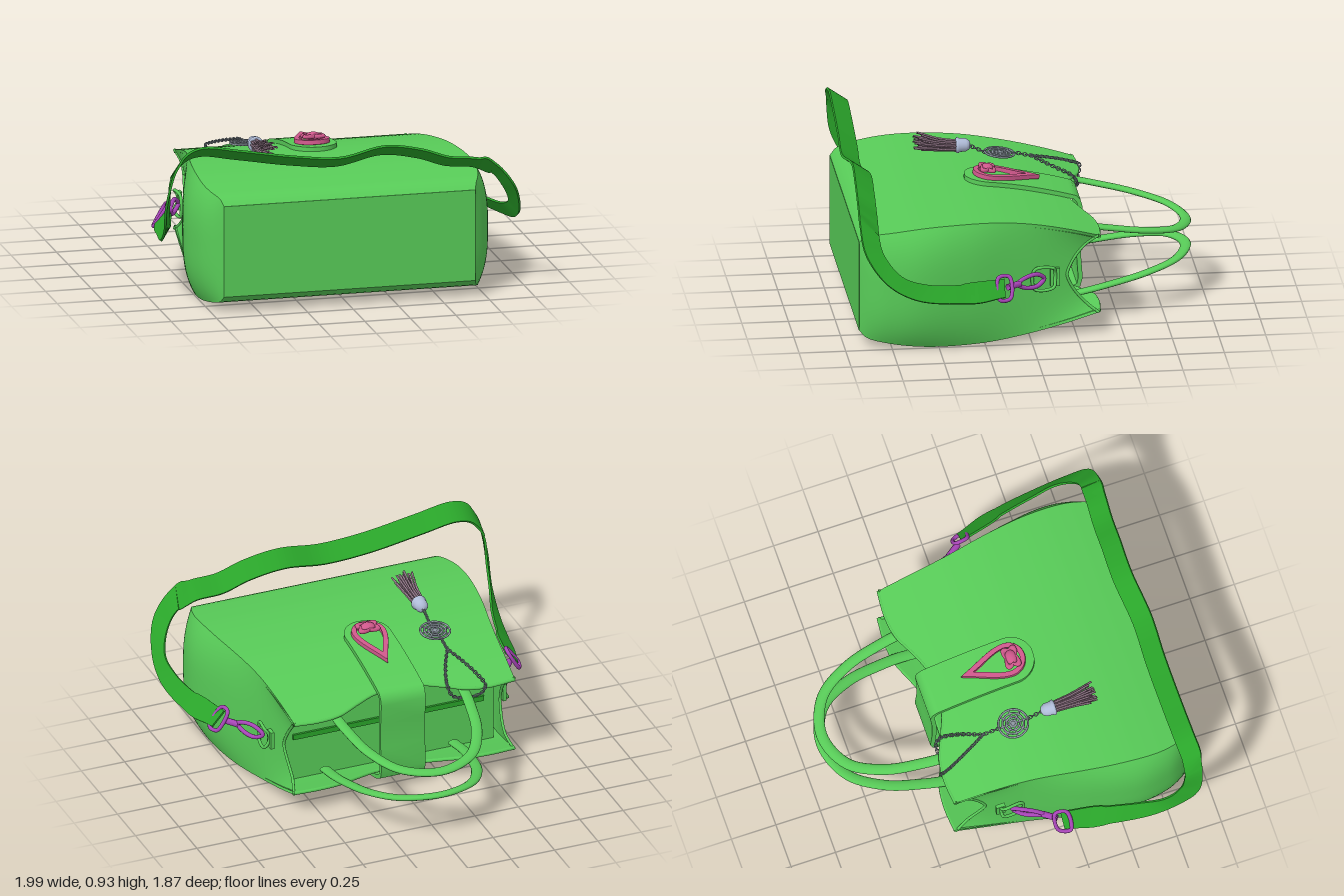
import * as THREE from 'three';
import { toCreasedNormals } from 'three/addons/utils/BufferGeometryUtils.js';

const V = (x, y, z) => new THREE.Vector3(x, y, z);
const mat = (color) => new THREE.MeshStandardMaterial({ color, side: THREE.DoubleSide });
const MID = 0.345; // height of the bag's middle plane

// smooth function through [position, value] pairs
function smooth(p) {
  const slope = (i) => {
    const a = p[Math.max(i - 1, 0)], b = p[Math.min(i + 1, p.length - 1)];
    return (b[1] - a[1]) / (b[0] - a[0]);
  };
  return (s) => {
    s = Math.min(Math.max(s, p[0][0]), p[p.length - 1][0]);
    let i = 0;
    while (i < p.length - 2 && s > p[i + 1][0]) i++;
    const d = p[i + 1][0] - p[i][0], t = (s - p[i][0]) / d, t2 = t * t, t3 = t2 * t;
    return (2 * t3 - 3 * t2 + 1) * p[i][1] + (t3 - 2 * t2 + t) * d * slope(i)
      + (3 * t2 - 2 * t3) * p[i + 1][1] + (t3 - t2) * d * slope(i + 1);
  };
}

// surface over a grid, f(u, v) with u, v from 0 to 1
function grid(f, nu, nv) {
  const pos = [], idx = [];
  for (let j = 0; j <= nv; j++) for (let i = 0; i <= nu; i++) {
    pos.push(...f(i / nu, j / nv).toArray());
    if (i < nu && j < nv) {
      const a = j * (nu + 1) + i, b = a + nu + 1;
      idx.push(a, a + 1, b, a + 1, b + 1, b);
    }
  }
  const g = new THREE.BufferGeometry();
  g.setAttribute('position', new THREE.Float32BufferAttribute(pos, 3));
  g.setIndex(idx);
  g.computeVertexNormals();
  return g;
}

// flat band with thickness; each section has a centre c and a half-width vector w
function band(sections, thick) {
  const n = sections.length;
  const rings = sections.map(({ c, w }, i) => {
    const dir = sections[Math.min(i + 1, n - 1)].c.clone().sub(sections[Math.max(i - 1, 0)].c);
    const t = dir.cross(w).normalize().multiplyScalar(thick / 2);
    return [[1, 1], [-1, 1], [-1, -1], [1, -1], [1, 1]]
      .map(([a, b]) => c.clone().addScaledVector(w, a).addScaledVector(t, b));
  });
  rings.unshift(Array(5).fill(sections[0].c));
  rings.push(Array(5).fill(sections[n - 1].c));
  return toCreasedNormals(grid((u, v) => rings[Math.round(v * (n + 1))][Math.round(u * 4)], 4, n + 1), 0.7);
}

const tube = (pts, r, n = 24, closed = false, sides = 8) =>
  new THREE.TubeGeometry(new THREE.CatmullRomCurve3(pts, closed), n, r, sides, closed);

// body profiles along z: half height, panel half width, gusset half width
const halfH = smooth([[-0.38, 0.215], [-0.2, 0.265], [0, 0.308], [0.2, 0.334], [0.4, 0.34], [0.6, 0.332], [0.82, 0.302], [0.89, 0.283], [0.92, 0.25]]);
const panelX = smooth([[-0.38, 0.635], [0, 0.67], [0.3, 0.72], [0.5, 0.745], [0.7, 0.75], [0.82, 0.73], [0.92, 0.69]]);
const gussetX = smooth([[-0.3, 0.6], [-0.05, 0.66], [0.1, 0.7], [0.35, 0.775], [0.6, 0.82], [0.78, 0.795], [0.88, 0.74], [0.92, 0.69]]);
const topEdge = smooth([[0, -0.26], [0.13, -0.27], [0.25, -0.315], [0.37, -0.365], [0.5, -0.38], [0.64, -0.37]]);

export function createModel() {
  const bag = new THREE.Group();
  const green = mat(0x58cc58), darkGreen = mat(0x2aa52a), pink = mat(0xd0588c);
  const purple = mat(0xa845b8), metal = mat(0x8c96a0), silver = mat(0xb0bcd8), mauve = mat(0x94788a);
  const add = (name, geo, m, parent = bag) => {
    const mesh = new THREE.Mesh(geo, m);
    mesh.name = name;
    parent.add(mesh);
    return mesh;
  };
  const group = (name, parent = bag) => {
    const g = new THREE.Group();
    g.name = name;
    parent.add(g);
    return g;
  };

  // front and back panels with rolled top edges, and their carrying handles
  for (const [name, s] of [['front', 1], ['back', -1]]) {
    const panel = (u, v) => {
      const a = u * 2 - 1;
      const z = THREE.MathUtils.lerp(0.92, topEdge(Math.abs(a) * 0.64), v);
      return V(a * panelX(z), MID + s * halfH(z), z);
    };
    add(name + 'Panel', grid(panel, 48, 48), green);
    const inner = grid((u, v) => panel(u, 0.7 + 0.3 * v).add(V(0, -0.018 * s, 0)), 48, 16);
    add(name + 'Facing', inner, green);
    const rim = Array.from({ length: 41 }, (_, i) => panel(i / 40, 1).add(V(0, -0.008 * s, 0)));
    add(name + 'Rim', tube(rim, 0.01, 80), green);

    const arch = [[-0.37, 0.15], [-0.37, 0], [-0.355, -0.13], [-0.31, -0.33], [-0.2, -0.51], [0, -0.585],
      [0.2, -0.51], [0.31, -0.33], [0.355, -0.13], [0.37, 0], [0.37, 0.15]].map(([x, z]) => V(x, 0, z));
    const handle = add(name + 'Handle', tube(arch, 0.03, 64, false, 12).scale(1, 0.5, 1), green);
    handle.position.set(0.01, MID + s * 0.185, -0.33);
    handle.rotation.x = -0.195 * s;
  }

  // base and inner closure with zip
  add('base', new THREE.BoxGeometry(1.38, 0.5, 0.02).translate(0, MID, 0.912), green);
  add('innerClosure', new THREE.BoxGeometry(1.22, 0.53, 0.01).translate(0, MID, -0.14), green);
  add('zip', new THREE.BoxGeometry(1.1, 0.03, 0.015).translate(0, MID, -0.15), darkGreen);

  // side gussets, rings and strap hooks
  for (const [name, s] of [['left', 1], ['right', -1]]) {
    const gusset = (u, v) => {
      const t = u * 2 - 1;
      const z = THREE.MathUtils.lerp(0.92, -0.2 - 0.17 * Math.abs(t) ** 1.4, v);
      const x = THREE.MathUtils.lerp(gussetX(z), panelX(z), Math.abs(t) ** 3);
      return V(s * x, MID + t * halfH(z), z);
    };
    add(name + 'Gusset', grid(gusset, 32, 48), green);
    add(name + 'GussetRim', tube(Array.from({ length: 25 }, (_, i) => gusset(i / 24, 1)), 0.008, 48), green);

    const hook = group(name + 'Hook');
    const ring = [[0.69, 0.29, -0.02], [0.7, 0.3, -0.12], [0.68, 0.34, -0.13], [0.68, 0.38, -0.13], [0.7, 0.41, -0.12], [0.69, 0.4, -0.02]];
    add('ring', tube(ring.map(([x, y, z]) => V(s * x, y, z)), 0.009, 40, true), green, hook);
    add('ringTab', new THREE.BoxGeometry(0.02, 0.1, 0.05).translate(s * 0.67, 0.35, -0.13), green, hook);
    const loop = [[0.69, 0.35, -0.07], [0.72, 0.385, -0.03], [0.755, 0.38, 0.04], [0.775, 0.355, 0.08], [0.755, 0.325, 0.04], [0.72, 0.32, -0.03]];
    add('snap', tube(loop.map(([x, y, z]) => V(s * x, y, z)), 0.012, 40, true), purple, hook);
    add('swivel', tube([V(s * 0.77, 0.355, 0.07), V(s * 0.82, 0.355, 0.14)], 0.018, 4), purple, hook);
    const buckle = [[0.81, 0.41, 0.13], [0.87, 0.31, 0.13], [0.89, 0.31, 0.19], [0.82, 0.41, 0.19]];
    add('strapLoop', tube(buckle.map(([x, y, z]) => V(s * x, y, z)), 0.011, 40, true), purple, hook);
  }

  // shoulder strap: centre line and half-width vectors
  const path = [[-0.84, 0.36, 0.16], [-0.89, 0.36, 0.4], [-0.93, 0.38, 0.6], [-0.96, 0.46, 0.74], [-0.975, 0.6, 0.83], [-0.95, 0.77, 0.86],
    [-0.89, 0.86, 0.87], [-0.8, 0.89, 0.865], [-0.6, 0.86, 0.865], [-0.3, 0.81, 0.87], [-0.05, 0.79, 0.88], [0.2, 0.83, 0.855],
    [0.4, 0.8, 0.86], [0.55, 0.75, 0.865], [0.7, 0.735, 0.875], [0.8, 0.7, 0.88], [0.89, 0.59, 0.86], [0.945, 0.46, 0.76],
    [0.95, 0.39, 0.62], [0.92, 0.36, 0.4], [0.85, 0.36, 0.16]].map((p) => V(...p));
  const end = (s) => [V(0.035 * s, -0.04, 0), V(0.035 * s, -0.04, 0), V(0.03 * s, -0.035, 0.02), V(0.02 * s, -0.015, 0.04), V(0.02 * s, 0.01, 0.05)];
  const across = Array.from({ length: 11 }, () => V(0, 0.035, 0.05));
  const line = new THREE.CatmullRomCurve3(path);
  const widths = new THREE.CatmullRomCurve3([...end(-1), ...across, ...end(1).reverse()]);
  const strap = Array.from({ length: 141 }, (_, i) => ({ c: line.getPoint(i / 140), w: widths.getPoint(i / 140) }));
  add('shoulderStrap', band(strap, 0.012), darkGreen);

  // closing flap: round tongue on the front, over the opening, down the back
  const tongue = [];
  for (let i = 0; i <= 40; i++) {
    const d = 0.58 * (i / 40) ** 1.5 + 0.0015, z = 0.28 - d;
    const half = d < 0.128 ? Math.sqrt(0.128 ** 2 - (0.128 - d) ** 2) : 0.128;
    tongue.push({ c: V(-0.008, MID + halfH(z) + 0.012, z), w: V(half, 0, 0) });
  }
  const over = [[0.575, -0.32], [0.54, -0.33], [0.42, -0.32], [0.28, -0.32], [0.14, -0.33], [0.1, -0.32], [0.072, -0.27], [0.05, -0.18], [0.03, -0.1], [0.015, -0.04]];
  for (const [y, z] of over) tongue.push({ c: V(-0.008, y, z), w: V(0.128, 0, 0) });
  add('closingFlap', band(tongue, 0.024), green);

  // drop-shaped clasp with a knot
  const clasp = group('clasp');
  clasp.position.set(-0.008, 0.698, 0.13);
  clasp.rotation.x = -0.13;
  const drop = (k, Type) => {
    const p = new Type();
    p.moveTo(0, 0.25 * k);
    p.bezierCurveTo(0.03 * k, 0.16 * k, 0.09 * k, 0.07 * k, 0.09 * k, -0.01);
    p.absarc(0, -0.01, 0.09 * k, 0, -Math.PI, true);
    p.bezierCurveTo(-0.09 * k, 0.07 * k, -0.03 * k, 0.16 * k, 0, 0.25 * k);
    return p;
  };
  const frame = drop(1, THREE.Shape);
  frame.holes.push(drop(0.74, THREE.Path));
  add('claspFrame', new THREE.ExtrudeGeometry(frame, { depth: 0.018, bevelSize: 0.004, bevelThickness: 0.004, bevelSegments: 2, curveSegments: 16 }).rotateX(-Math.PI / 2), pink, clasp);
  for (const a of [-0.5, 0.5]) {
    const oval = add('knotLoop', new THREE.TorusGeometry(0.042, 0.012, 8, 24).rotateX(Math.PI / 2).scale(1.3, 1, 0.6), pink, clasp);
    oval.position.set(0, 0.035, 0.03);
    oval.rotation.y = a;
  }
  add('knotCore', new THREE.SphereGeometry(0.032, 16, 10).scale(1.3, 0.7, 1).translate(0, 0.035, 0.03), pink, clasp);

  // hanging charm: chain, medallion, bell and tassel
  const charm = group('charm');
  const X = -0.353;
  const chain = (pts, count) => {
    const c = new THREE.CatmullRomCurve3(pts);
    for (let i = 0; i <= count; i++) {
      const link = add('chainLink', new THREE.TorusGeometry(0.009, 0.0028, 5, 8).scale(1.4, 1, 1), metal, charm);
      link.position.copy(c.getPointAt(i / count));
      link.quaternion.setFromUnitVectors(V(1, 0, 0), c.getTangentAt(i / count));
      link.rotateX(i % 2 ? Math.PI / 2 : 0);
    }
  };
  chain([V(X, 0.67, -0.12), V(-0.4, 0.64, -0.22), V(-0.445, 0.6, -0.33), V(-0.46, 0.57, -0.39), V(-0.44, 0.52, -0.38), V(-0.35, 0.5, -0.36),
    V(-0.28, 0.53, -0.36), V(-0.265, 0.58, -0.33), V(-0.3, 0.63, -0.22), V(X, 0.67, -0.12)], 52);
  chain([V(X, 0.67, -0.12), V(X, 0.69, -0.035)], 5);
  chain([V(X, 0.7, 0.13), V(X, 0.74, 0.21)], 5);
  const medal = group('medallion', charm);
  medal.position.set(X, 0.695, 0.05);
  medal.rotation.x = -0.1;
  for (const r of [0.08, 0.058, 0.038, 0.018]) add('medallionRing', new THREE.TorusGeometry(r, 0.006, 6, 28).rotateX(Math.PI / 2), metal, medal);
  for (let i = 0; i < 4; i++) add('medallionSpoke', new THREE.BoxGeometry(0.16, 0.008, 0.008).rotateY(i * Math.PI / 4), metal, medal);
  const bell = [[0, 0], [0.022, 0.005], [0.035, 0.025], [0.037, 0.06], [0.042, 0.065], [0.042, 0.075], [0.036, 0.08], [0, 0.08]].map(([r, y]) => new THREE.Vector2(r, y));
  add('bell', new THREE.LatheGeometry(bell, 20).rotateX(Math.PI / 2).translate(X, 0.745, 0.205), silver, charm);
  for (let i = 0; i < 24; i++) {
    const a = i * 2.4, r = Math.sqrt((i + 0.5) / 24), cx = Math.cos(a) * r, cy = Math.sin(a) * r;
    add('tasselStrand', tube([V(X + cx * 0.03, 0.745 + cy * 0.03, 0.28), V(X + cx * 0.04, 0.757 + cy * 0.035, 0.38),
      V(X + cx * 0.062, 0.78 + cy * 0.05, 0.51 - 0.02 * (i % 3))], 0.006, 8, false, 5), mauve, charm);
  }
  return bag;
}
